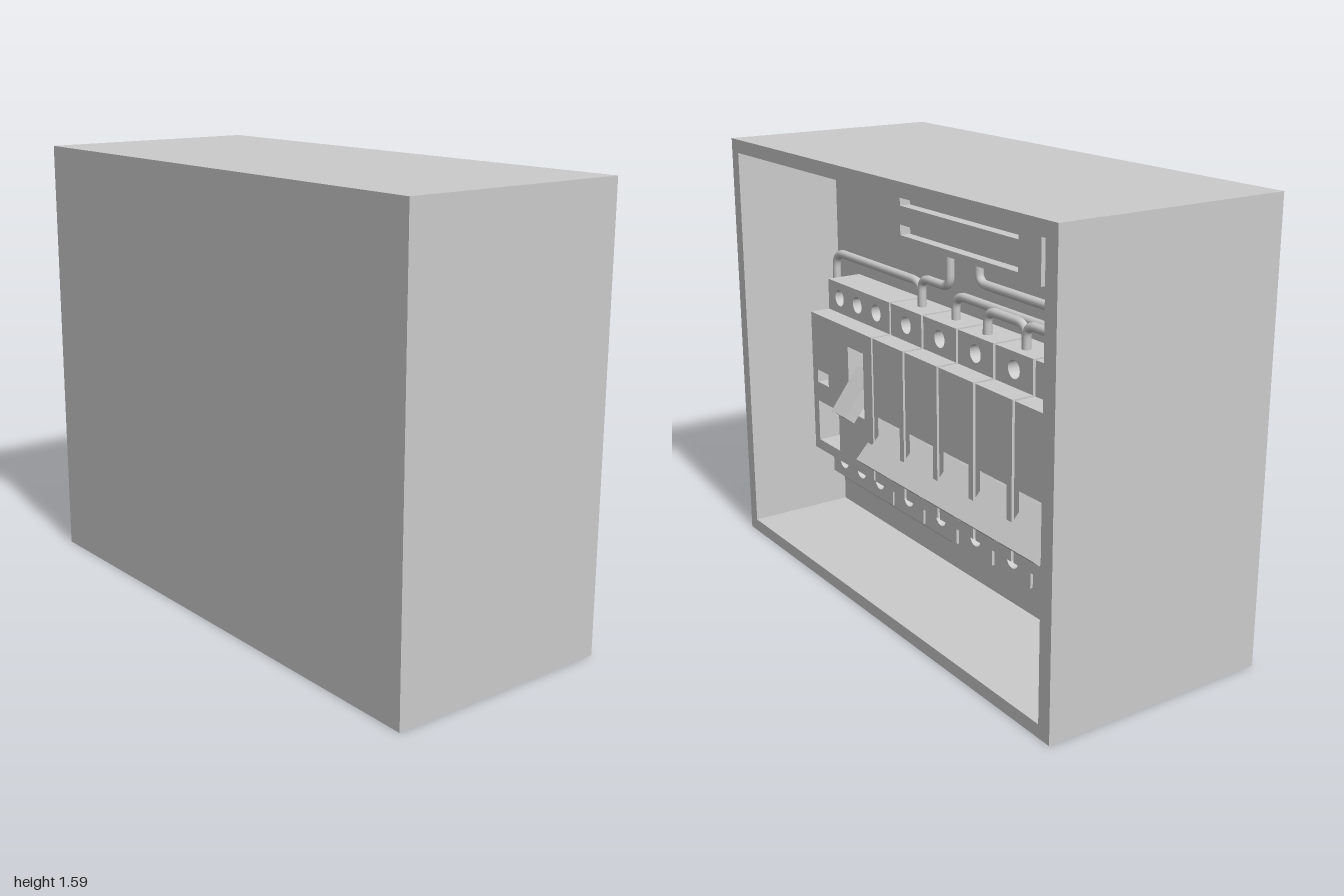
import * as THREE from 'three';

const material = new THREE.MeshStandardMaterial({ color: 0xcccccc });

// Working frame: u to the right, v up, w out of the open side. The group is turned at the end.
const BACK = 0.012;      // inner back panel
const FLOOR = 0.10;      // bottom of the recesses
const TERMINAL = 0.15;   // front of the terminal steps
const FACE = 0.23;       // front of the raised middle

function add(parent, geometry, name) {
  const mesh = new THREE.Mesh(geometry, material);
  mesh.name = name;
  parent.add(mesh);
  return mesh;
}

function trace(path, points) {
  points.forEach(([u, v], i) => (i ? path.lineTo(u, v) : path.moveTo(u, v)));
  path.closePath();
  return path;
}

const corners = ([u0, u1, v0, v1]) => [[u0, v0], [u1, v0], [u1, v1], [u0, v1]];

// Rectangular slab from w0 to w1 with rectangular [u0,u1,v0,v1] and round [u,v,r] holes
function slab(parent, name, rect, w0, w1, rects = [], rounds = []) {
  const shape = trace(new THREE.Shape(), corners(rect));
  rects.forEach((r) => shape.holes.push(trace(new THREE.Path(), corners(r))));
  rounds.forEach(([u, v, r]) => {
    const hole = new THREE.Path();
    hole.absarc(u, v, r, 0, Math.PI * 2, true);
    shape.holes.push(hole);
  });
  const geometry = new THREE.ExtrudeGeometry(shape, { depth: w1 - w0, bevelEnabled: false, curveSegments: 16 });
  geometry.translate(0, 0, w0);
  return add(parent, geometry, name);
}

// Stepped breaker body: terminal screws above and below, raised middle with recesses
function breakerBody(parent, u0, u1, screws, recesses) {
  const full = [u0, u1, 0.255, 1.05];
  const holes = screws.flatMap((u) => [[u, 0.99, 0.032], [u, 0.322, 0.032]]);
  slab(parent, 'breakerBase', full, BACK, FLOOR);
  slab(parent, 'breakerTerminals', full, FLOOR, TERMINAL, recesses, holes);
  slab(parent, 'breakerFace', [u0, u1, 0.375, 0.93], TERMINAL, FACE, recesses);
}

// Sloping switch lever: outline is drawn upward from its outer tip
function lever(parent, name, outline, thickness, u, v, w, tilt) {
  const geometry = new THREE.ExtrudeGeometry(trace(new THREE.Shape(), outline), { depth: thickness, bevelEnabled: false });
  geometry.translate(0, 0, -thickness);
  const mesh = add(parent, geometry, name);
  mesh.position.set(u, v, w);
  mesh.rotation.x = -tilt;
}

function pivot(parent, u, v, width) {
  const geometry = new THREE.CylinderGeometry(0.04, 0.04, width, 16);
  geometry.rotateZ(Math.PI / 2);
  add(parent, geometry, 'leverPivot').position.set(u, v, 0.14);
}

// Wire following a polyline with rounded corners
function wire(parent, points, w = 0.08, bend = 0.045) {
  const pts = points.map(([u, v]) => new THREE.Vector3(u, v, w));
  const path = new THREE.CurvePath();
  let from = pts[0];
  for (let i = 1; i < pts.length - 1; i++) {
    const p = pts[i];
    const rIn = Math.min(bend, p.distanceTo(pts[i - 1]) * 0.48);
    const rOut = Math.min(bend, p.distanceTo(pts[i + 1]) * 0.48);
    const a = p.clone().add(pts[i - 1].clone().sub(p).setLength(rIn));
    const b = p.clone().add(pts[i + 1].clone().sub(p).setLength(rOut));
    path.add(new THREE.LineCurve3(from, a));
    path.add(new THREE.QuadraticBezierCurve3(a, p, b));
    from = b;
  }
  path.add(new THREE.LineCurve3(from, pts[pts.length - 1]));
  const segments = Math.ceil(path.getLength() / 0.012);
  add(parent, new THREE.TubeGeometry(path, segments, 0.016, 10, false), 'wire');
}

export function createModel() {
  const model = new THREE.Group();
  model.name = 'breakerPanel';
  const inner = new THREE.Group();
  inner.name = 'panelContents';
  inner.rotation.y = Math.PI / 2;
  model.add(inner);

  // Enclosure: thick back and a rim open on one side
  const outer = [-1, 1, 0, 1.59];
  slab(inner, 'enclosureBack', outer, -0.427, BACK);
  slab(inner, 'enclosureRim', outer, BACK, 0.427, [[-0.95, 0.945, 0.047, 1.54]]);

  // Terminal block with two long slots
  const block = [-0.32, 0.53, 1.278, 1.54];
  slab(inner, 'terminalBlockBase', block, BACK, 0.08);
  slab(inner, 'terminalBlockFront', block, 0.08, 0.122,
    [[-0.295, 0.41, 1.302, 1.34], [-0.295, 0.41, 1.408, 1.447]]);

  // Main breaker with a test window, a small window and its own lever
  const main = new THREE.Group();
  main.name = 'mainBreaker';
  inner.add(main);
  breakerBody(main, -0.787, -0.335, [-0.702, -0.567, -0.43], [
    [-0.75, -0.665, 0.655, 0.705],
    [-0.75, -0.59, 0.415, 0.578],
    [-0.508, -0.396, 0.6, 0.855],
  ]);
  lever(main, 'mainLever', [[-0.05, 0], [0.05, 0], [0.055, 0.196], [-0.055, 0.196]], 0.049, -0.452, 0.62, 0.31, 0.66);
  pivot(main, -0.452, 0.72, 0.11);

  // Row of single breakers with wide-ended handles
  const centres = [0, 1, 2, 3, 4].map((i) => -0.222 + i * 0.2175);
  centres.forEach((u) => {
    const breaker = new THREE.Group();
    breaker.name = 'singleBreaker';
    inner.add(breaker);
    breakerBody(breaker, u - 0.102, u + 0.102, [u], [[u - 0.075, u + 0.075, 0.5, 0.635]]);
    lever(breaker, 'breakerHandle', [
      [-0.103, 0], [0.103, 0], [0.103, 0.075], [0.072, 0.075],
      [0.072, 0.163], [-0.072, 0.163], [-0.072, 0.075], [-0.103, 0.075],
    ], 0.037, u, 0.48, 0.31, 0.74);
    pivot(breaker, u, 0.555, 0.144);
  });

  // Wires from the terminal block to the breakers
  const [c0, c1, c2, c3, c4] = centres;
  wire(inner, [[-0.04, 1.29], [-0.04, 1.155], [c0, 1.155], [c0, 1.04]]);
  wire(inner, [[0.135, 1.29], [0.135, 1.207], [c4, 1.207], [c4, 1.04]]);
  // Loop round the main breaker, and the feed leaving through the floor
  wire(inner, [[c0, 1.04], [c0, 1.138], [-0.842, 1.138], [-0.842, 0.213], [c1, 0.213], [c1, 0.265]], 0.08, 0.06);
  wire(inner, [[c1, 1.04], [c1, 1.138], [0.802, 1.138], [0.802, 0.182], [0.548, 0.182], [0.548, 0.04]], 0.08, 0.06);
  // Jumpers between neighbouring breakers
  [[c2, c3], [c3, c4]].forEach(([a, b]) => wire(inner, [[a, 1.04], [a, 1.132], [b, 1.132], [b, 1.04]], 0.1));

  return model;
}
